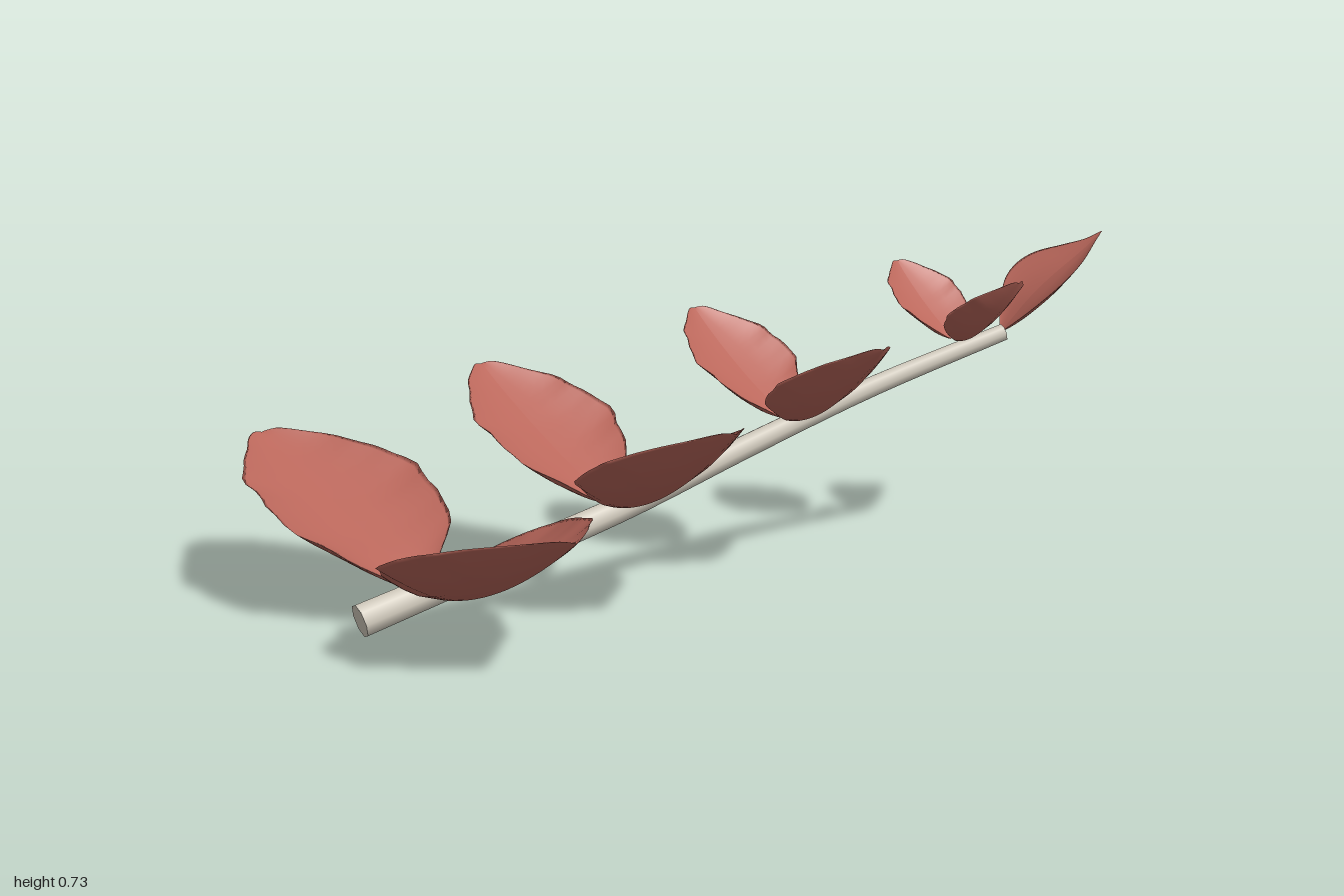
import * as THREE from 'three';

const leafMaterial = new THREE.MeshStandardMaterial({ color: 0xba675b, side: THREE.DoubleSide });
leafMaterial.name = 'dusty red leaf';
const stemMaterial = new THREE.MeshStandardMaterial({ color: 0xd2cbbd });
stemMaterial.name = 'pale stem';

// Outlines as (distance along the midrib, half width), both from 0 to 1
const outline = (points) => new THREE.SplineCurve(points.map(([t, w]) => new THREE.Vector2(t, w)));
const broad = outline([[0, 0.08], [0.06, 0.48], [0.2, 0.84], [0.4, 1], [0.58, 0.92], [0.73, 0.72], [0.88, 0.4], [0.97, 0.17], [1, 0.02]]);
const pointed = outline([[0, 0.06], [0.1, 0.48], [0.25, 0.9], [0.4, 1], [0.56, 0.86], [0.74, 0.5], [0.88, 0.2], [1, 0.01]]);

// Fleshy leaf: a rounded keel below, a shallow dish above, meeting at a raised rim
function makeLeaf(name, base, tip, halfWidth, { profile = broad, curl = 1.8, wave = 0.035, cup = 0.6, seed = 0 } = {}) {
  const geometry = new THREE.CylinderGeometry(1, 1, 1, 20, 28, true);
  const position = geometry.attributes.position;
  const from = new THREE.Vector3(...base);
  const reach = new THREE.Vector3(...tip).sub(from);
  const side = new THREE.Vector3(-reach.z, 0, reach.x).normalize();
  for (let i = 0; i < position.count; i++) {
    const s = position.getX(i);
    const isTop = position.getZ(i) > 0;
    const { x: t, y: w } = profile.getPoint(position.getY(i) + 0.5);
    const phase = seed * 1.7 + (s > 0 ? 2.1 : 0);
    const ripple = wave * (Math.sin(t * 19 + phase) + 0.6 * Math.sin(t * 37 + phase * 2));
    const offset = s * halfWidth * w * (1 + ripple * Math.abs(s));
    const dish = isTop ? 0.5 + 0.5 * s * s : Math.pow(Math.abs(s), 1.4);
    position.setXYZ(i,
      from.x + reach.x * t + side.x * offset,
      from.y + reach.y * Math.pow(t, curl) + cup * halfWidth * w * dish,
      from.z + reach.z * t + side.z * offset);
  }
  geometry.computeVertexNormals();
  const mesh = new THREE.Mesh(geometry, leafMaterial);
  mesh.name = name;
  return mesh;
}

// Tapered, gently bowed stem with closed ends
function makeStem() {
  const group = new THREE.Group();
  group.name = 'stem';
  const path = new THREE.CatmullRomCurve3([
    [-0.835, 0.038, 0.032], [-0.55, 0.108, 0.008], [-0.2, 0.2, -0.014],
    [0.1, 0.302, -0.02], [0.4, 0.406, -0.008], [0.735, 0.513, 0.028],
  ].map((p) => new THREE.Vector3(...p)));
  const rings = 24, sides = 8, startRadius = 0.038, endRadius = 0.021;
  const geometry = new THREE.TubeGeometry(path, rings, startRadius, sides);
  const position = geometry.attributes.position;
  const point = new THREE.Vector3();
  for (let i = 0; i < position.count; i++) {
    const u = Math.floor(i / (sides + 1)) / rings;
    const scale = THREE.MathUtils.lerp(1, endRadius / startRadius, u);
    const centre = path.getPointAt(u);
    point.fromBufferAttribute(position, i).sub(centre).multiplyScalar(scale).add(centre);
    position.setXYZ(i, point.x, point.y, point.z);
  }
  const tube = new THREE.Mesh(geometry, stemMaterial);
  tube.name = 'stemTube';
  group.add(tube);
  for (const [u, radius, sign] of [[0, startRadius, -1], [1, endRadius, 1]]) {
    const cap = new THREE.Mesh(new THREE.CircleGeometry(radius, sides), stemMaterial);
    cap.name = u ? 'stemTipCap' : 'stemBaseCap';
    cap.position.copy(path.getPointAt(u));
    cap.lookAt(cap.position.clone().addScaledVector(path.getTangentAt(u), sign));
    group.add(cap);
  }
  return group;
}

export function createModel() {
  const model = new THREE.Group();
  model.name = 'leafySprig';
  model.add(makeStem());

  // Leaf pairs, shrinking towards the tip
  const pairs = [
    { x: -0.7, z: 0.01, y: 0.075, top: 0.315, front: [-0.55, 0.548], back: [-0.88, -0.552], width: 0.207 },
    { x: -0.265, z: -0.005, y: 0.212, top: 0.455, front: [-0.145, 0.415], back: [-0.395, -0.42], width: 0.174 },
    { x: 0.18, z: -0.012, y: 0.355, top: 0.567, front: [0.265, 0.29], back: [0.09, -0.297], width: 0.14 },
    { x: 0.617, z: 0.0, y: 0.5, top: 0.66, front: [0.675, 0.18], back: [0.57, -0.187], width: 0.105 },
  ];
  pairs.forEach(({ x, z, y, top, front, back, width }, i) => {
    model.add(makeLeaf(`frontLeaf${i + 1}`, [x, y, z + 0.012], [front[0], top, front[1]], width, { seed: i }));
    model.add(makeLeaf(`backLeaf${i + 1}`, [x, y, z - 0.012], [back[0], top, back[1]], width, { seed: i + 5 }));
  });

  // Smooth pointed leaf at the end
  model.add(makeLeaf('tipLeaf', [0.73, 0.515, 0.028], [1, 0.733, 0.03], 0.11,
    { profile: pointed, curl: 1.3, wave: 0, cup: 0.65 }));
  return model;
}
